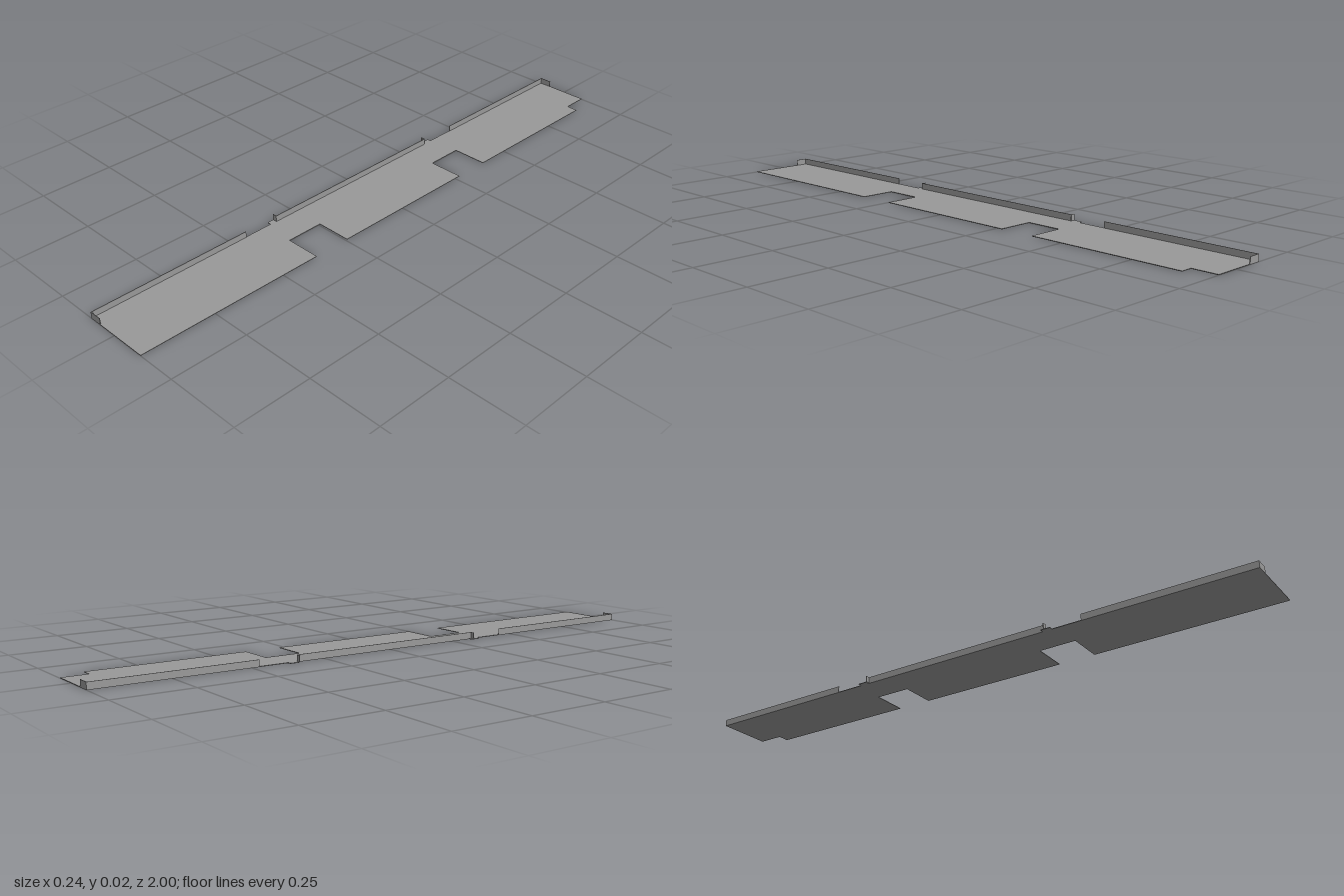
import * as THREE from 'three';

const T = 0.002; // sheet thickness
const H = 0.022; // height of the folded flanges
const LEFT = -0.107;

export function createModel() {
  const model = new THREE.Group();
  const metal = new THREE.MeshStandardMaterial({ color: 0x999999 });
  metal.name = 'grey sheet metal';

  function add(name, geometry) {
    const mesh = new THREE.Mesh(geometry, metal);
    mesh.name = name;
    model.add(mesh);
  }

  // Box given by its limits on each axis
  function sheet(name, x0, x1, y0, y1, z0, z1) {
    const g = new THREE.BoxGeometry(x1 - x0, y1 - y0, z1 - z0);
    g.translate((x0 + x1) / 2, (y0 + y1) / 2, (z0 + z1) / 2);
    add(name, g);
  }

  // Flat base with two edge notches and a cut corner, as [x, z]
  const outline = [
    [LEFT, 1], [0.119, 1], [0.119, 0.37], [0, 0.37], [0, 0.245], [0.119, 0.245],
    [0.119, -0.27], [0, -0.27], [0, -0.39], [0.119, -0.39],
    [0.119, -0.915], [0.08, -0.915], [0.08, -1], [LEFT, -1],
  ];
  const shape = new THREE.Shape(outline.map(([x, z]) => new THREE.Vector2(x, -z)));
  const base = new THREE.ExtrudeGeometry(shape, { depth: T, bevelEnabled: false });
  base.rotateX(-Math.PI / 2);
  add('basePlate', base);

  // Upright flanges along the long edge
  for (const [z0, z1] of [[0.45, 1], [-0.345, 0.33], [-1, -0.475]]) {
    sheet('sideFlange', LEFT, LEFT + T, T, H, z0, z1);
  }

  // Short return flanges at both ends
  sheet('frontFlange', LEFT + T, -0.065, T, H, 1 - T, 1);
  sheet('backFlange', LEFT + T, -0.065, T, H, -1, -1 + T);

  // Small outward tabs and lips at the ends of the middle flange
  sheet('frontTab', -0.12, LEFT, 0, T, 0.32, 0.352);
  sheet('frontTabLip', -0.12, LEFT, T, H, 0.33 - T, 0.33);
  sheet('backTab', -0.12, LEFT, 0, T, -0.378, -0.347);
  sheet('backTabLip', -0.12, LEFT, T, H, -0.347, -0.347 + T);

  return model;
}
